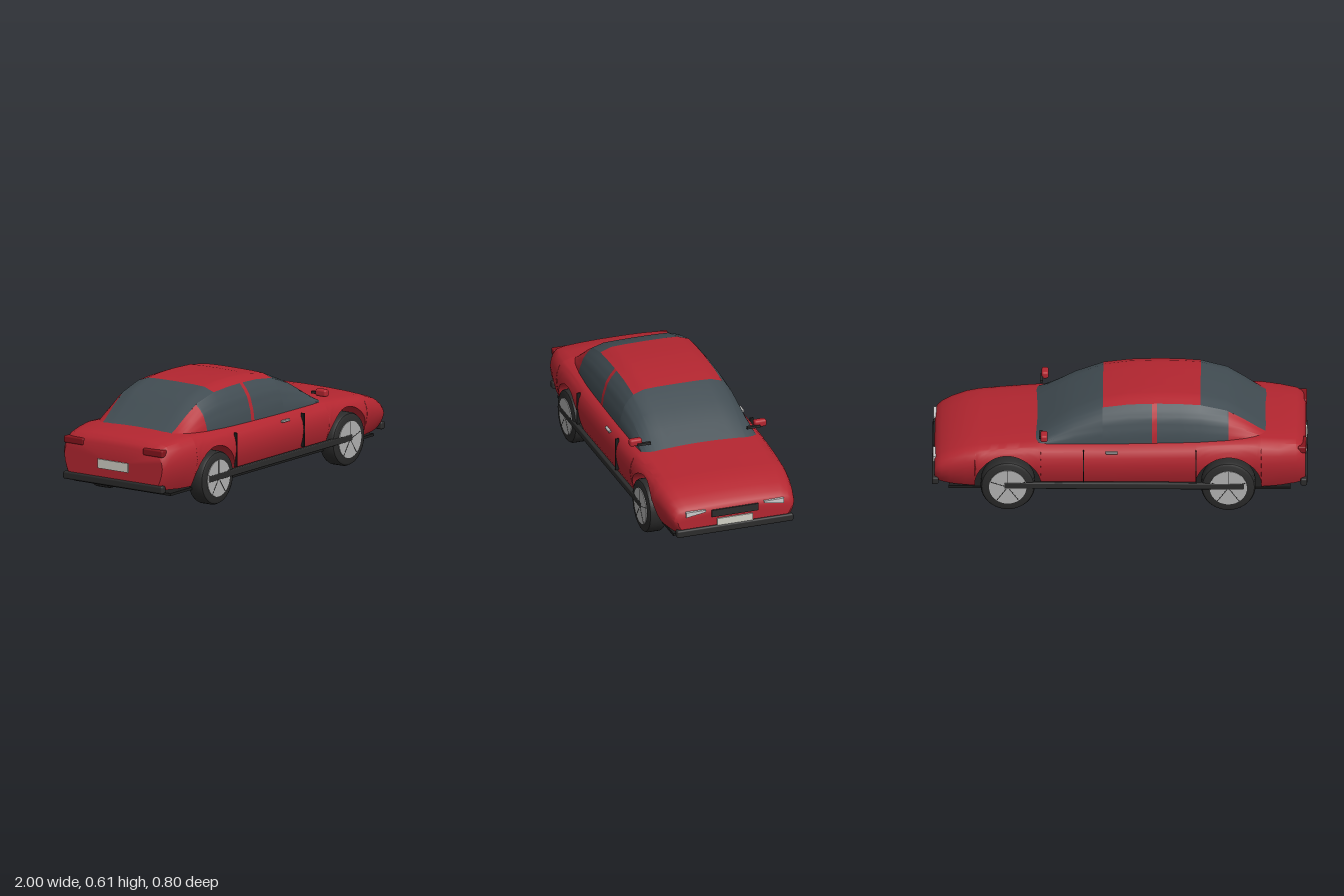
import * as THREE from 'three';
import { toCreasedNormals } from 'three/addons/utils/BufferGeometryUtils.js';
import { RoundedBoxGeometry } from 'three/addons/geometries/RoundedBoxGeometry.js';

const paint = (color, side = THREE.FrontSide) => new THREE.MeshStandardMaterial({ color, side });
const red = paint(0xb32630, THREE.DoubleSide);
const glass = paint(0x414c52, THREE.DoubleSide);
const black = paint(0x2b2b2b);
const dark = paint(0x1c1c1c);
const silver = paint(0xb0b0b0);
const lamp = paint(0xc8c8c8);
const plateWhite = paint(0xd2d0c6);
const tailRed = paint(0x86141c);

const wheelXs = [-0.58, 0.595];
const wheelR = 0.145, archR = 0.175;

// piecewise linear lookup in a table of [key, value...] rows
function lookup(table, k, col = 1) {
  if (k <= table[0][0]) return table[0][col];
  for (let i = 1; i < table.length; i++) {
    const a = table[i - 1], b = table[i];
    if (k <= b[0]) return a[col] + (b[col] - a[col]) * (k - a[0]) / (b[0] - a[0]);
  }
  return table[table.length - 1][col];
}

// grid surface from point(i, j); i runs along x, j runs across
function grid(ni, nj, point, capped = false) {
  const pos = [], idx = [];
  for (let i = 0; i < ni; i++) for (let j = 0; j < nj; j++) pos.push(...point(i, j));
  const at = (i, j) => i * nj + (j % nj);
  for (let i = 0; i < ni - 1; i++) for (let j = 0; j < (capped ? nj : nj - 1); j++) {
    idx.push(at(i, j), at(i + 1, j), at(i + 1, j + 1), at(i, j), at(i + 1, j + 1), at(i, j + 1));
  }
  if (capped) for (const i of [0, ni - 1]) {
    const c = pos.length / 3;
    pos.push(pos[i * nj * 3], 0.24, 0);
    for (let j = 0; j < nj; j++) {
      if (i === 0) idx.push(c, at(i, j), at(i, j + 1));
      else idx.push(c, at(i, j + 1), at(i, j));
    }
  }
  const g = new THREE.BufferGeometry();
  g.setAttribute('position', new THREE.Float32BufferAttribute(pos, 3));
  g.setIndex(idx);
  return toCreasedNormals(g, 0.6);
}

// lower body stations: x, bottom, top, half width
const stations = [
  [-0.99, 0.15, 0.345, 0.325], [-0.975, 0.14, 0.37, 0.338], [-0.94, 0.135, 0.39, 0.352], [-0.85, 0.128, 0.402, 0.372],
  [-0.75, 0.125, 0.412, 0.384], [-0.55, 0.125, 0.405, 0.389], [0, 0.125, 0.392, 0.389], [0.43, 0.125, 0.388, 0.389],
  [0.6, 0.125, 0.374, 0.388], [0.75, 0.125, 0.36, 0.383], [0.82, 0.125, 0.349, 0.374], [0.9, 0.128, 0.322, 0.361],
  [0.95, 0.135, 0.295, 0.349], [0.975, 0.14, 0.275, 0.338], [0.987, 0.15, 0.255, 0.322],
];
// half section: height fraction, width fraction
const section = [[0, 0.89], [0.15, 0.94], [0.35, 0.98], [0.55, 1], [0.7, 0.985], [0.83, 0.95], [0.92, 0.89],
  [0.96, 0.78], [0.985, 0.52], [0.997, 0.25], [1, 0]];

function makeBody() {
  const xs = stations.map((s) => s[0]).filter((x) => wheelXs.every((w) => Math.abs(x - w) > archR + 0.002));
  for (const w of wheelXs) {
    for (let k = 0; k <= 24; k++) xs.push(w - archR * Math.cos(Math.PI * k / 24));
    xs.push(w - archR - 0.001, w + archR + 0.001);
  }
  xs.sort((a, b) => a - b);
  const n = section.length;
  return grid(xs.length, 2 * n - 1, (i, j) => {
    const x = xs[i], yb = lookup(stations, x, 1), yt = lookup(stations, x, 2), w = lookup(stations, x, 3);
    let bottom = yb;
    for (const c of wheelXs) {
      const d = archR * archR - (x - c) ** 2;
      if (d > -1e-9) bottom = Math.max(bottom, wheelR + Math.sqrt(Math.max(d, 0)));
    }
    // squeeze the side above the wheel arch, keep the shoulder and top
    const f0 = (bottom - yb) / (yt - yb);
    let f = section[j < n ? j : 2 * n - 2 - j][0];
    if (f < 0.92) f = f0 + (0.92 - f0) * f / 0.92;
    const z = lookup(section, f) * w;
    return [x, yb + f * (yt - yb), j < n ? z : -z];
  }, true);
}

// cabin: roof line, half width and cross-section
const roofLine = [[-0.79, 0.4], [-0.75, 0.425], [-0.66, 0.495], [-0.57, 0.555], [-0.43, 0.595], [-0.32, 0.603], [-0.2, 0.605],
  [-0.05, 0.599], [0.09, 0.578], [0.24, 0.515], [0.35, 0.447], [0.45, 0.38]];
const cabinWidth = [[-0.79, 0.3], [-0.58, 0.322], [-0.4, 0.332], [0.45, 0.332]];
const cabinSection = [[0, 0, 1], [0.2, 0.35, 0.995], [0.35, 0.57, 0.98], [0.45, 0.757, 0.885], [0.6, 0.84, 0.755],
  [0.75, 0.91, 0.6], [0.9, 0.975, 0.3], [1, 1, 0]];
const cabinBase = 0.36;

function cabinPatch(x0, x1, t0, t1) {
  const xs = [x0, ...roofLine.map((r) => r[0]).filter((x) => x > x0 + 0.004 && x < x1 - 0.004), x1];
  const n = Math.round((t1 - t0) / 0.05) + 1;
  return grid(xs.length, n, (i, j) => {
    const t = t1 - (t1 - t0) * j / (n - 1), a = Math.abs(t), x = xs[i];
    const z = lookup(cabinSection, a, 1) * lookup(cabinWidth, x);
    return [x, cabinBase + (lookup(roofLine, x) - cabinBase) * lookup(cabinSection, a, 2), Math.sign(t) * z];
  });
}

function makeWheel(side) {
  const wheel = new THREE.Group();
  wheel.name = 'wheel';
  const r = wheelR, h = 0.05;
  const outline = [[0.04, -h], [r - 0.018, -h], [r - 0.006, -h + 0.006], [r, -h + 0.018], [r, h - 0.018],
    [r - 0.006, h - 0.006], [r - 0.018, h], [0.04, h]].map((p) => new THREE.Vector2(...p));
  const tyre = new THREE.Mesh(toCreasedNormals(new THREE.LatheGeometry(outline, 40), 0.5), black);
  tyre.name = 'tyre';
  tyre.rotation.x = Math.PI / 2;
  const hub = new THREE.Mesh(new THREE.CylinderGeometry(0.1, 0.1, 0.108, 32), silver);
  hub.name = 'hubcap';
  hub.rotation.x = Math.PI / 2;
  wheel.add(tyre, hub);
  // hubcap grooves
  for (let k = 0; k < 5; k++) {
    const groove = new THREE.Mesh(new THREE.BoxGeometry(0.004, 0.085, 0.003), black);
    groove.name = 'hubGroove';
    const a = k * Math.PI * 2 / 5;
    groove.position.set(-Math.sin(a) * 0.055, Math.cos(a) * 0.055, side * 0.0535);
    groove.rotation.z = a;
    wheel.add(groove);
  }
  return wheel;
}

export function createModel() {
  const car = new THREE.Group();
  car.name = 'car';
  const add = (name, geometry, material, x = 0, y = 0, z = 0) => {
    const m = new THREE.Mesh(geometry, material);
    m.name = name;
    m.position.set(x, y, z);
    car.add(m);
    return m;
  };
  const box = (name, mat, x, y, z, w, h, d) => add(name, new THREE.BoxGeometry(w, h, d), mat, x, y, z);
  const rounded = (name, mat, x, y, z, w, h, d, r) => add(name, new RoundedBoxGeometry(w, h, d, 3, r), mat, x, y, z);

  add('body', makeBody(), red);
  box('floor', dark, 0, 0.104, 0, 1.82, 0.014, 0.64);

  // cabin panels
  add('windscreen', cabinPatch(0.09, 0.45, -1, 1), glass);
  add('roof', cabinPatch(-0.43, 0.09, -0.45, 0.45), red);
  add('rearWindow', cabinPatch(-0.79, -0.43, -0.45, 0.45), glass);
  for (const s of [-1, 1]) {
    const panel = (name, x0, x1, mat) => add(name, cabinPatch(x0, x1, s < 0 ? -1 : 0.45, s < 0 ? -0.45 : 1), mat);
    panel('rearPillar', -0.79, -0.58, red);
    panel('rearSideWindow', -0.58, -0.2, glass);
    panel('centrePillar', -0.2, -0.173, red);
    panel('frontSideWindow', -0.173, 0.09, glass);

    // side trim
    rounded('sillStrip', black, -0.025, 0.153, s * 0.385, 1.28, 0.036, 0.026, 0.006);
    for (const x of [-0.408, 0.192]) box('doorSeam', dark, x, 0.268, s * 0.381, 0.006, 0.184, 0.02);
    rounded('doorHandle', silver, 0.042, 0.345, s * 0.377, 0.065, 0.012, 0.016, 0.004);

    // mirrors
    rounded('mirror', red, 0.402, 0.43, s * 0.352, 0.038, 0.04, 0.07, 0.012);
    box('mirrorArm', black, 0.42, 0.42, s * 0.31, 0.016, 0.013, 0.075);

    // lamps
    const shape = new THREE.Shape([[0.165, 0.262], [0.165, 0.252], [0.19, 0.247], [0.277, 0.234], [0.277, 0.263]]
      .map(([z, y]) => new THREE.Vector2(-s * z, y)));
    const head = add('headlight', new THREE.ExtrudeGeometry(shape, { depth: 0.04, bevelEnabled: false }), lamp, 0.955, 0, 0);
    head.rotation.y = Math.PI / 2;
    rounded('tailLight', tailRed, -0.972, 0.338, s * 0.262, 0.045, 0.038, 0.13, 0.008);

    for (const x of wheelXs) {
      const wheel = makeWheel(s);
      wheel.position.set(x, wheelR, s * 0.342);
      car.add(wheel);
    }
  }

  // front and rear fittings
  box('grille', black, 0.975, 0.235, 0, 0.04, 0.04, 0.262);
  box('frontPlate', plateWhite, 0.98, 0.18, 0, 0.03, 0.044, 0.2);
  box('rearPlate', plateWhite, -0.982, 0.235, 0, 0.03, 0.05, 0.2);
  for (const x of [-0.982, 0.982]) rounded('bumper', black, x, 0.143, 0, 0.036, 0.042, 0.66, 0.01);
  return car;
}
